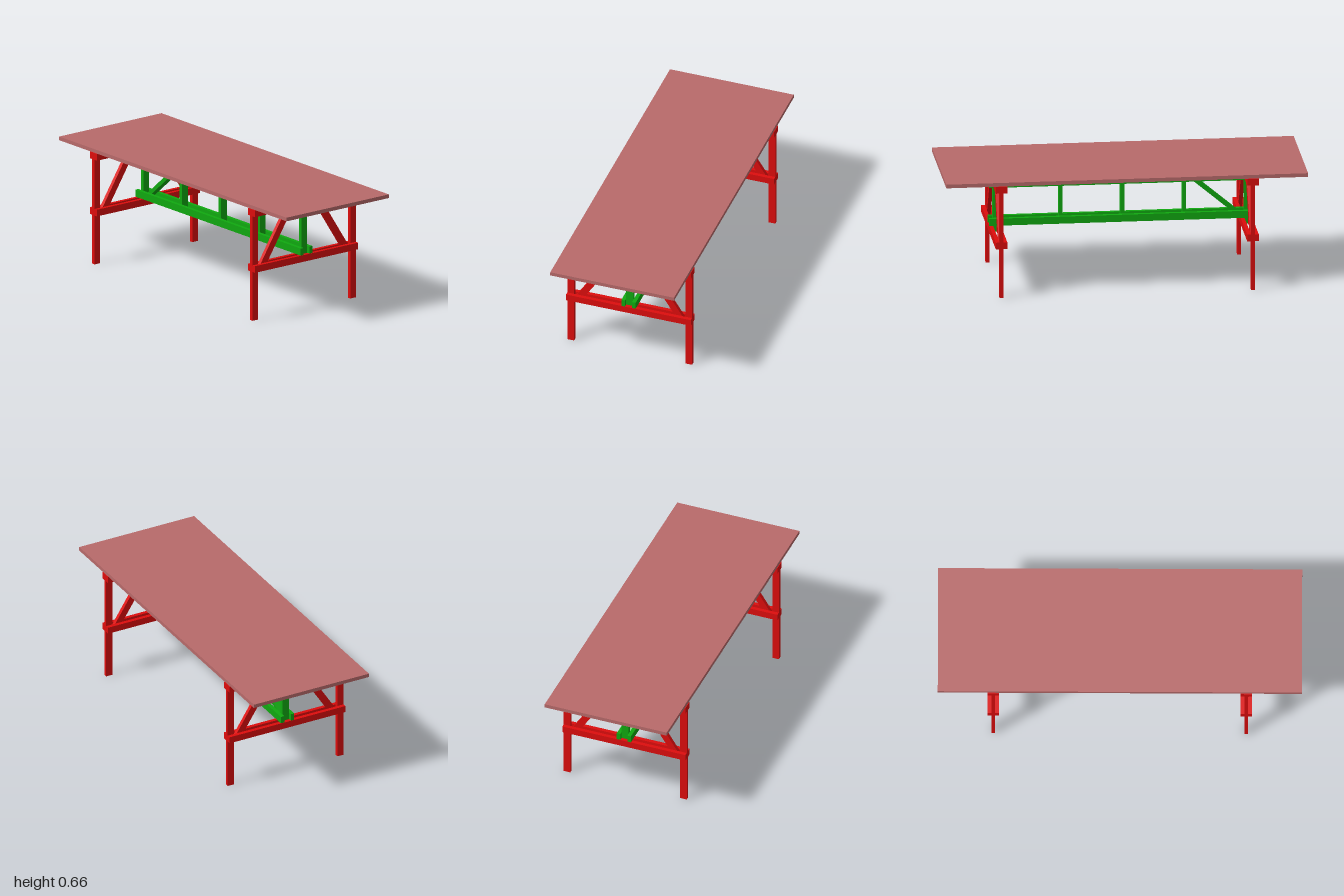
import * as THREE from 'three';

const mat = (color) => new THREE.MeshStandardMaterial({ color, flatShading: true });
const RED = mat(0xdd0d0d), GREEN = mat(0x10a810), TOP = mat(0xb86a6a);

const PLY = 0.0213;     // board thickness
const END_Z = 0.695;    // trestle position

// Box given by its lower and upper corners
function board(name, material, [x0, y0, z0], [x1, y1, z1]) {
  const mesh = new THREE.Mesh(new THREE.BoxGeometry(x1 - x0, y1 - y0, z1 - z0), material);
  mesh.position.set((x0 + x1) / 2, (y0 + y1) / 2, (z0 + z1) / 2);
  mesh.name = name;
  return mesh;
}

// Sloping board with level-cut ends, extruded evenly about z = 0
function brace(name, material, xLow, yLow, xHigh, yHigh, width, depth) {
  const shape = new THREE.Shape([
    new THREE.Vector2(xLow - width / 2, yLow), new THREE.Vector2(xLow + width / 2, yLow),
    new THREE.Vector2(xHigh + width / 2, yHigh), new THREE.Vector2(xHigh - width / 2, yHigh),
  ]);
  const geometry = new THREE.ExtrudeGeometry(shape, { depth, bevelEnabled: false });
  geometry.translate(0, 0, -depth / 2);
  const mesh = new THREE.Mesh(geometry, material);
  mesh.name = name;
  return mesh;
}

// End frame: legs and braces sandwiched between paired cross rails
function trestle(name) {
  const g = new THREE.Group();
  g.name = name;
  const h = PLY / 2;
  for (const s of [-1, 1]) {
    const side = s > 0 ? 'left' : 'right';
    const cx = s * 0.3435;
    g.add(board(side + 'Leg', RED, [cx - 0.0195, 0, -h], [cx + 0.0195, 0.637, h]));
    g.add(brace(side + 'Brace', RED, s * 0.3065, 0.281, s * 0.079, 0.636, 0.046, PLY));
    const z = s * PLY;
    g.add(board('lowerCrossRail', RED, [-0.363, 0.28, z - h], [0.363, 0.318, z + h]));
    g.add(board('upperCrossRail', RED, [-0.363, 0.599, z - h], [0.363, 0.637, z + h]));
  }
  return g;
}

// Lengthwise truss: paired rails around uprights and one diagonal
function stretcher() {
  const g = new THREE.Group();
  g.name = 'stretcher';
  const h = PLY / 2;
  for (const s of [-1, 1]) {
    const x = s * (0.0205 + h);
    g.add(board('lowerLongRail', GREEN, [x - h, 0.319, -0.727], [x + h, 0.359, 0.727]));
    g.add(board('upperLongRail', GREEN, [x - h, 0.536, -0.727], [x + h, 0.575, 0.727]));
    g.add(board('endPost', GREEN, [-0.0205, 0.28, s * END_Z - h], [0.0205, 0.637, s * END_Z + h]));
  }
  for (const z of [0.33, -0.011, -0.353]) {
    g.add(board('upright', GREEN, [-0.0205, 0.319, z - h], [0.0205, 0.575, z + h]));
  }
  const diagonal = brace('diagonal', GREEN, -0.673, 0.32, -0.371, 0.574, 0.034, 0.041);
  diagonal.rotation.y = -Math.PI / 2; // local x runs along z
  g.add(diagonal);
  return g;
}

export function createModel() {
  const model = new THREE.Group();
  model.name = 'trestleTable';
  for (const s of [-1, 1]) {
    const end = trestle(s > 0 ? 'frontTrestle' : 'backTrestle');
    end.position.z = s * END_Z;
    model.add(end);
  }
  model.add(stretcher());
  model.add(board('tableTop', TOP, [-0.36, 0.638, -1], [0.36, 0.659, 1]));
  return model;
}
